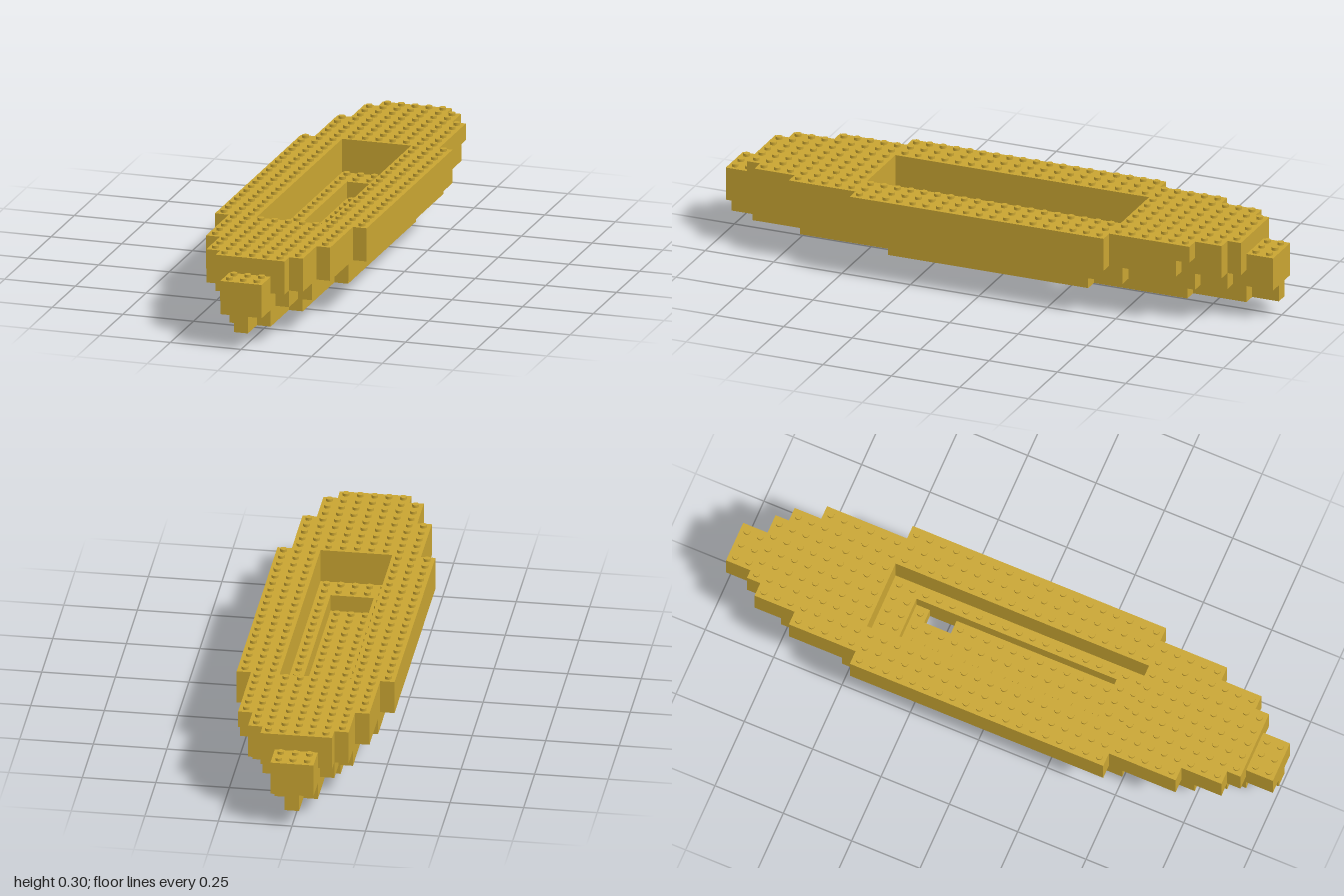
import * as THREE from 'three';
import { mergeGeometries } from 'three/addons/utils/BufferGeometryUtils.js';

const P = 2 / 41;        // stud pitch
const H = 1.2 * P;       // brick course height

// Each course: pairs of [half length, half width] in studs, tip to middle,
// and an optional opening [x0, x1, z0, z1].
const COURSES = [
  { name: 'hullBottomCourse', steps: [[20.5, 0.5], [18.5, 1.5], [14.5, 2.5], [7.5, 3.5]], hole: [0.5, 1.5, -6.5, -4.5] },
  { name: 'hullLowerCourse', steps: [[20.5, 1.5], [17.5, 2.5], [15.5, 3.5], [10.5, 4.5]], hole: [-1.5, 1.5, -7.5, 7.5] },
  { name: 'hullUpperCourse', steps: [[20.5, 1.5], [18.5, 2.5], [17.5, 3.5], [14.5, 4.5], [9.5, 5.5]], hole: [-2.5, 2.5, -9.5, 9.5] },
  { name: 'deckCourse', steps: [[18.5, 2.5], [17.5, 3.5], [14.5, 4.5], [9.5, 5.5]], hole: [-2.5, 2.5, -9.5, 9.5] },
];
const EXTRA = [4, -15];  // single extra stud cell on the deck

// Stepped outline mirrored to all four quadrants
function outline(steps) {
  const q = [];
  steps.forEach(([z, w], i) => {
    q.push([w, z]);
    if (i + 1 < steps.length) q.push([w, steps[i + 1][0]]);
  });
  const lower = q.map(([x, z]) => [x, -z]);
  const half = [...lower, ...q.slice().reverse()];
  const all = [...half, ...half.map(([x, z]) => [-x, -z])];
  return all.map(([x, z]) => new THREE.Vector2(x * P, z * P));
}

function courseGeometry({ steps, hole: [x0, x1, z0, z1] }) {
  const shape = new THREE.Shape(outline(steps));
  shape.holes.push(new THREE.Path(
    [[x0, -z0], [x1, -z0], [x1, -z1], [x0, -z1]].map(([x, y]) => new THREE.Vector2(x * P, y * P))));
  return new THREE.ExtrudeGeometry(shape, { depth: H, bevelEnabled: false }).rotateX(-Math.PI / 2);
}

// Does a course fill the stud cell at (x, z)?
function filled({ steps, hole }, x, z) {
  const inside = steps.some(([l, w]) => Math.abs(z) < l && Math.abs(x) < w);
  return inside && !(x > hole[0] && x < hole[1] && z > hole[2] && z < hole[3]);
}

export function createModel() {
  const model = new THREE.Group();
  model.name = 'brickBoatHull';
  const gold = new THREE.MeshStandardMaterial({ color: 0xc9a532 });
  gold.name = 'gold';

  const add = (name, geometry, x = 0, y = 0, z = 0) => {
    const mesh = new THREE.Mesh(geometry, gold);
    mesh.name = name;
    mesh.position.set(x, y, z);
    model.add(mesh);
  };

  // Hull courses
  COURSES.forEach((course, i) => add(course.name, courseGeometry(course), 0, (i + 1) * H, 0));

  // Extra brick on the deck edge and the peg under the hull
  add('deckEdgeBrick', new THREE.BoxGeometry(P, H, P), EXTRA[0] * P, 4.5 * H, EXTRA[1] * P);
  add('keelPeg', new THREE.BoxGeometry(P, H, 2 * P), 0, H / 2, -0.5 * P);

  // Studs on every exposed top
  const studHeight = 0.2 * P;
  const stud = new THREE.CylinderGeometry(0.0115, 0.0115, studHeight, 16);
  const studs = [];
  for (let x = -5; x <= 5; x++) {
    for (let z = -20; z <= 20; z++) {
      let top = COURSES.findLastIndex((c) => filled(c, x, z));
      if (x === EXTRA[0] && z === EXTRA[1]) top = 3;
      if (top < 0) continue;
      studs.push(stud.clone().translate(x * P, (top + 2) * H + studHeight / 2, z * P));
    }
  }
  add('studs', mergeGeometries(studs));

  return model;
}
